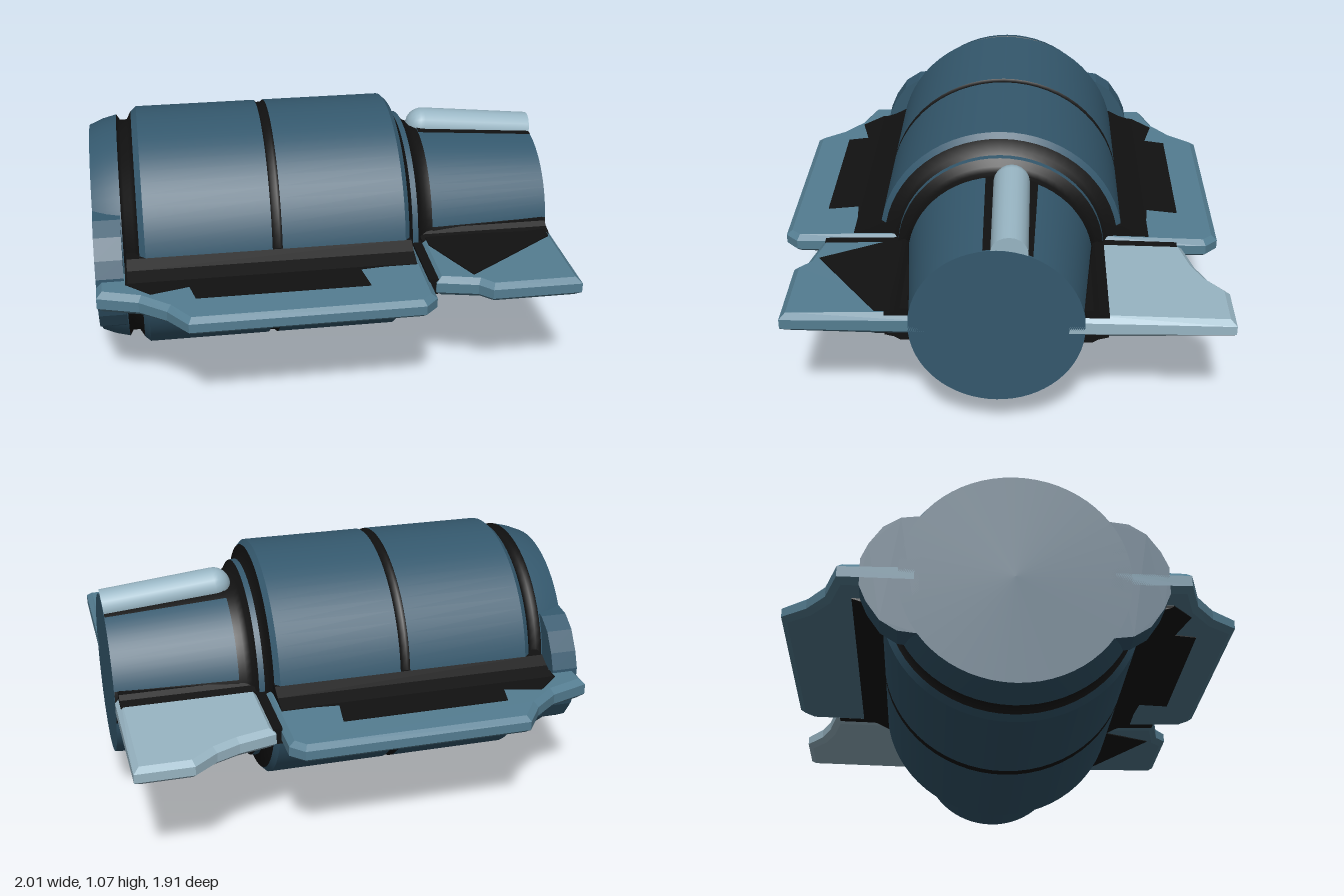
import * as THREE from 'three';

const CY = 0.537; // height of the long axis
const mat = (name, color) => {
  const m = new THREE.MeshStandardMaterial({ color });
  m.name = name;
  return m;
};

export function createModel() {
  const model = new THREE.Group();
  const hull = mat('deep blue', 0x34586d);
  const black = mat('black', 0x111111);
  const teal = mat('teal', 0x547d91);
  const pale = mat('pale blue', 0x98b5c3);

  const add = (name, geometry, material) => {
    const mesh = new THREE.Mesh(geometry, material);
    mesh.name = name;
    mesh.position.y = CY;
    model.add(mesh);
    return mesh;
  };

  // surface turned around the x axis, from [x, radius] pairs
  const turned = (pairs, phi = 0, sweep = Math.PI * 2, segments = 64) =>
    new THREE.LatheGeometry(pairs.map(([x, r]) => new THREE.Vector2(r, x)), segments, phi, sweep)
      .rotateZ(-Math.PI / 2);

  // body in bands, front cap to tail cap
  const bands = [
    ['frontCap', hull, [[-1, 0], [-1, 0.465]]],
    ['frontCollar', hull, [[-1, 0.465], [-0.94, 0.49], [-0.88, 0.505]]],
    ['frontGroove', black, [[-0.88, 0.505], [-0.865, 0.48], [-0.835, 0.48], [-0.815, 0.515]]],
    ['frontShoulder', hull, [[-0.815, 0.515], [-0.79, 0.537]]],
    ['frontDrum', hull, [[-0.79, 0.537], [-0.255, 0.537]]],
    ['middleGroove', black, [[-0.255, 0.537], [-0.245, 0.527], [-0.222, 0.527], [-0.212, 0.537]]],
    ['rearDrum', hull, [[-0.212, 0.537], [0.32, 0.537]]],
    ['rearShoulder', hull, [[0.32, 0.537], [0.342, 0.515]]],
    ['rearGroove', black, [[0.342, 0.515], [0.352, 0.47], [0.37, 0.452]]],
    ['rearRing', hull, [[0.37, 0.452], [0.395, 0.45]]],
    ['tailGroove', black, [[0.395, 0.45], [0.415, 0.42], [0.44, 0.405], [0.47, 0.4]]],
    ['tailCone', hull, [[0.47, 0.4], [1, 0.355]]],
    ['tailCap', hull, [[1, 0.355], [1, 0]]],
  ];
  for (const [name, material, pairs] of bands) add(name, turned(pairs), material);

  // black root strips painted on the tail cone
  const strip = [[0.47, 0.404], [0.999, 0.359]];
  const strips = [['tailStripLeft', 0, 0.21], ['tailStripRight', Math.PI, 0.21],
    ['tailStripTop', -Math.PI / 2 - 0.13, 0.28]];
  for (const [name, mid, half] of strips)
    add(name, turned(strip, mid - half, half * 2, 10), black);

  // rounded ridge on top of the tail
  const ridge = [[0, 0]];
  for (let i = 1; i <= 6; i++) {
    const a = (i / 6) * Math.PI / 2;
    ridge.push([0.075 * (1 - Math.cos(a)), 0.077 * Math.sin(a)]);
  }
  ridge.push([0.57, 0.075]);
  const ridgeMesh = add('tailRidge', turned(ridge, 0, Math.PI * 2, 20), pale);
  ridgeMesh.position.set(0.433, 0.937, -0.05);
  ridgeMesh.rotation.z = -0.1;
  const ridgeEnd = add('tailRidgeEnd', new THREE.CircleGeometry(0.075, 20).rotateY(Math.PI / 2), pale);
  ridgeEnd.position.set(0.999, 0.88, -0.05);

  // half thickness of the fins, thinner towards the tip
  const halfAt = (z) => 0.052 - 0.03 * Math.max(0, Math.abs(z) - 0.5);

  const toShape = (points, side) =>
    new THREE.Shape(points.map(([x, z]) => new THREE.Vector2(x, z * side)));

  // chamfered fin from an outline in x and z
  const fin = (points, side) => {
    const g = new THREE.ExtrudeGeometry(toShape(points, side), {
      depth: 1, bevelEnabled: true, bevelSegments: 1,
      bevelThickness: 0.5, bevelSize: 0.025, bevelOffset: -0.025,
    }).translate(0, 0, -0.5).rotateX(Math.PI / 2);
    const p = g.attributes.position;
    for (let i = 0; i < p.count; i++) p.setY(i, p.getY(i) * halfAt(p.getZ(i)));
    g.computeVertexNormals();
    return g;
  };

  // thin painted plate lying on one face of a fin
  const paint = (points, side, face) => {
    const g = new THREE.ExtrudeGeometry(toShape(points, side), { depth: 0.005, bevelEnabled: false })
      .rotateX(Math.PI / 2).translate(0, 0.0025, 0);
    const p = g.attributes.position;
    for (let i = 0; i < p.count; i++) p.setY(i, p.getY(i) + face * (halfAt(p.getZ(i)) + 0.001));
    g.computeVertexNormals();
    return g;
  };

  // prism along x from a half outline in z and y, mirrored in y
  const prism = (half, x0, x1, side) => {
    const pts = [...half, ...half.map(([z, y]) => [z, -y]).reverse()];
    const shape = new THREE.Shape(pts.map(([z, y]) => new THREE.Vector2(-z * side, y)));
    return new THREE.ExtrudeGeometry(shape, { depth: x1 - x0, bevelEnabled: false })
      .rotateY(Math.PI / 2).translate(x0, 0, 0);
  };

  const mainOutline = [[-1, 0.4], [-1, 0.705], [-0.83, 0.76], [-0.72, 0.845], [-0.64, 0.955],
    [0.32, 0.955], [0.375, 0.9], [0.375, 0.4]];
  const mainPaint = [[-0.88, 0.45], [-0.88, 0.65], [-0.78, 0.74], [-0.62, 0.7], [-0.6, 0.795],
    [0.12, 0.795], [0.1, 0.66], [0.31, 0.64], [0.34, 0.45]];
  const tailLeft = [[0.4, 0.29], [0.4, 0.78], [0.57, 0.82], [0.62, 0.87], [1, 0.87], [1, 0.29]];
  const tailRight = [[0.4, 0.29], [0.4, 0.79], [0.56, 0.83], [0.66, 0.875], [0.76, 0.955],
    [1, 0.955], [1, 0.29]];
  const tailPaint = [[0.43, 0.37], [0.43, 0.5], [0.56, 0.77], [0.97, 0.49], [0.97, 0.34]];

  for (const [label, side] of [['Left', 1], ['Right', -1]]) {
    const left = side > 0;
    add('mainFin' + label, fin(mainOutline, side), teal);
    add('tailFin' + label, fin(left ? tailLeft : tailRight, side), left ? teal : pale);
    add('mainFinPaint' + label, paint(mainPaint, side, 1), black);
    if (left) {
      add('mainFinPaintUnder', paint(mainPaint, side, -1), black);
      add('tailFinPaint', paint(tailPaint, side, 1), black);
      add('tailFinPaintUnder', paint(tailPaint, side, -1), black);
    }
    // black fillets where the fins meet the body
    add('mainRoot' + label,
      prism([[0.42, 0.1], [0.527, 0.1], [0.58, 0.072], [0.65, 0.05]], -0.87, 0.345, side), black);
    add('tailRoot' + label,
      prism([[0.32, 0.075], [0.385, 0.075], [0.41, 0.06], [0.45, 0.05]], 0.41, 0.985, side), black);
    // dark seam between main fin and tail fin
    add('finSeam' + label,
      prism([[0.35, 0.045], [0.77, 0.035]], 0.37, 0.41, side), black);
    // cheek bulge beside the front collar
    add('frontCheek' + label,
      prism([[0.38, 0.265], [0.46, 0.255], [0.53, 0.21], [0.585, 0.13], [0.615, 0.06]],
        -1, -0.885, side), hull);
  }
  return model;
}
